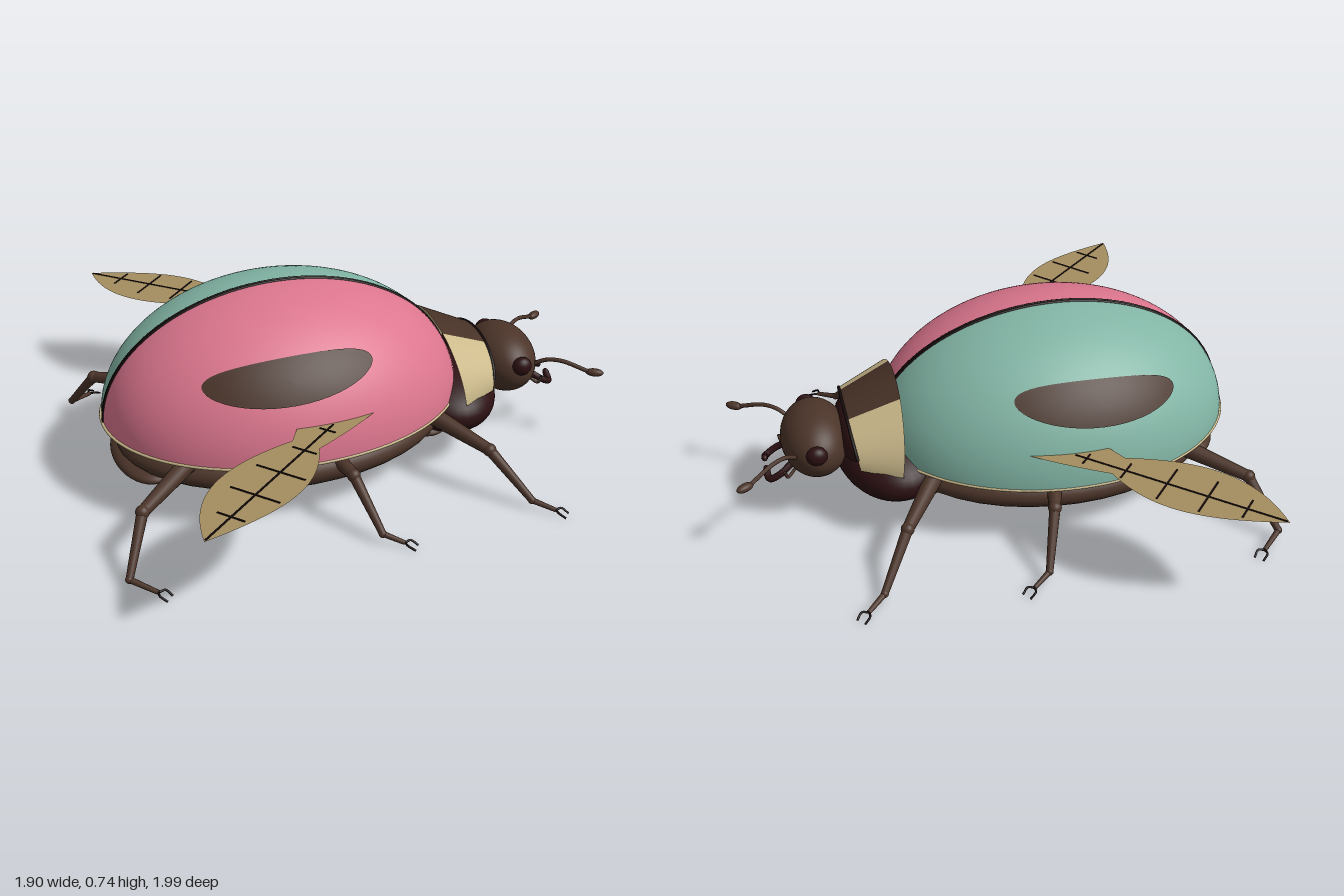
import * as THREE from 'three';

const mat = (name, color) => {
  const m = new THREE.MeshStandardMaterial({ color, side: THREE.DoubleSide });
  m.name = name;
  return m;
};
const V = (x, y, z) => new THREE.Vector3(x, y, z);

export function createModel() {
  const root = new THREE.Group();
  root.name = 'beetle';
  const pink = mat('pink', 0xdc768e), teal = mat('teal', 0x82b5a5);
  const brown = mat('brown', 0x4b3429), spotBrown = mat('spotBrown', 0x483227);
  const maroon = mat('darkMaroon', 0x2c1012), black = mat('nearBlack', 0x160b0b);
  const cream = mat('cream', 0xcbb98b), wingTan = mat('wingTan', 0xa58e60);

  const add = (name, geo, material, parent = root) => {
    const m = new THREE.Mesh(geo, material);
    m.name = name;
    parent.add(m);
    return m;
  };
  const ellipsoid = (name, p, r, material, parent) => {
    const m = add(name, new THREE.SphereGeometry(1, 40, 28), material, parent);
    m.position.set(...p);
    m.scale.set(...r);
    return m;
  };
  const tube = (name, pts, r, material, parent, n = 32) =>
    add(name, new THREE.TubeGeometry(new THREE.CatmullRomCurve3(pts), n, r, 8), material, parent);
  // Tapered limb segment between two points
  const limb = (name, a, b, ra, rb, material, parent) => {
    const d = b.clone().sub(a);
    const m = add(name, new THREE.CylinderGeometry(rb, ra, d.length(), 12), material, parent);
    m.position.copy(a).addScaledVector(d, 0.5);
    m.quaternion.setFromUnitVectors(V(0, 1, 0), d.normalize());
    return m;
  };

  // Body
  ellipsoid('abdomen', [-0.24, 0.185, 0], [0.62, 0.135, 0.45], brown);
  ellipsoid('tailLobe', [-0.76, 0.135, 0], [0.12, 0.045, 0.23], brown);
  ellipsoid('chestLobe', [0.27, 0.14, 0], [0.12, 0.045, 0.25], brown);
  ellipsoid('thorax', [0.37, 0.22, 0], [0.21, 0.13, 0.33], maroon);
  ellipsoid('neck', [0.5, 0.3, 0], [0.07, 0.1, 0.19], maroon);
  ellipsoid('head', [0.645, 0.285, 0], [0.125, 0.125, 0.185], brown);

  // Neck shield: a tapered arch in three coloured sections
  const arch = (a, t) => {
    const c = Math.cos(a), k = 1 - c;
    return V(0.34 + 0.03 * k, 0.275 + 0.235 * c, 0.31 * Math.sin(a))
      .lerp(V(0.535 - 0.025 * k, 0.275 + 0.145 * c, 0.235 * Math.sin(a)), t);
  };
  const shield = (name, a0, a1, material) => {
    const g = new THREE.PlaneGeometry(1, 1, 24, 4), p = g.attributes.position;
    for (let i = 0; i < p.count; i++) {
      const v = arch(a0 + (a1 - a0) * (p.getX(i) + 0.5), p.getY(i) + 0.5);
      p.setXYZ(i, v.x, v.y, v.z);
    }
    g.computeVertexNormals();
    add(name, g, material);
  };
  const split = 0.43, end = 1.57;
  shield('shieldRight', -end, -split, cream);
  shield('shieldMiddle', -split, split, spotBrown);
  shield('shieldLeft', split, end, cream);
  tube('shieldFrontRim', Array.from({ length: 17 }, (_, i) => arch((i / 8 - 1) * 1.3, 1)), 0.006, black);

  // Wing case ellipsoid
  const C = V(-0.24, 0.27, 0), R = V(0.66, 0.465, 0.5);

  for (const s of [1, -1]) {
    const side = s > 0 ? 'Left' : 'Right';
    const P = (x, y, z) => V(x, y, z * s);
    const group = (name) => {
      const g = new THREE.Group();
      g.name = name + side;
      root.add(g);
      return g;
    };

    // Hollow wing case with rim, centre seam and spot
    const wc = group('wingCase');
    const shell = add('shell', new THREE.SphereGeometry(1, 48, 28, s > 0 ? 0 : Math.PI, Math.PI, 0, Math.PI / 2),
      s > 0 ? pink : teal, wc);
    shell.position.set(C.x, C.y, s * 0.006);
    shell.scale.copy(R);
    const arc = (f) => Array.from({ length: 33 }, (_, i) => f(Math.PI * i / 32));
    tube('rim', arc((a) => P(C.x + Math.cos(a) * 0.663, 0.276, Math.sin(a) * 0.503)), 0.006, cream, wc, 64);
    tube('seam', arc((a) => P(C.x + Math.cos(a) * 0.659, C.y + Math.sin(a) * 0.464, 0.005)), 0.006, black, wc, 64);
    const spot = new THREE.RingGeometry(0.001, 1, 48, 8), sp = spot.attributes.position;
    for (let i = 0; i < sp.count; i++) {
      const x = -0.31 + 0.295 * sp.getX(i);
      const y = 0.548 + 0.065 * sp.getY(i) + 0.018 * sp.getX(i);
      const q = 1 - ((x - C.x) / R.x) ** 2 - ((y - C.y) / R.y) ** 2;
      sp.setXYZ(i, x, y, s * (0.012 + R.z * Math.sqrt(Math.max(q, 0))));
    }
    spot.computeVertexNormals();
    add('spot', spot, spotBrown, wc);

    // Flat hind wing with veins
    const wing = group('hindWing');
    const outline = new THREE.Shape();
    outline.moveTo(-0.02, 0.44 * s);
    outline.quadraticCurveTo(-0.13, 0.53 * s, -0.29, 0.62 * s);
    outline.bezierCurveTo(-0.35, 0.83 * s, -0.48, 0.92 * s, -0.765, 0.997 * s);
    outline.bezierCurveTo(-0.76, 0.75 * s, -0.63, 0.62 * s, -0.36, 0.545 * s);
    outline.lineTo(-0.32, 0.47 * s);
    outline.closePath();
    const blade = new THREE.ShapeGeometry(outline, 20);
    blade.rotateX(Math.PI / 2);
    add('blade', blade, wingTan, wing).position.y = 0.41;
    const vein = (x0, z0, x1, z1) => {
      const m = add('vein', new THREE.BoxGeometry(Math.hypot(x1 - x0, z1 - z0), 0.005, 0.006), black, wing);
      m.position.set((x0 + x1) / 2, 0.41, s * (z0 + z1) / 2);
      m.rotation.y = -Math.atan2(s * (z1 - z0), x1 - x0);
    };
    vein(-0.76, 0.99, -0.2, 0.49);
    for (const [x, z, w] of [[-0.66, 0.9, 0.05], [-0.56, 0.81, 0.09], [-0.45, 0.715, 0.09], [-0.34, 0.615, 0.045], [-0.23, 0.52, 0.03]])
      vein(x - w * 0.67, z - w * 0.74, x + w * 0.67, z + w * 0.74);

    // Legs: hip, knee, ankle, foot
    const legs = {
      frontLeg: [[0.25, 0.24, 0.27], [0.39, 0.185, 0.48], [0.5, 0.035, 0.62], [0.565, 0.018, 0.68]],
      middleLeg: [[-0.17, 0.22, 0.34], [-0.13, 0.2, 0.5], [-0.075, 0.04, 0.645], [-0.01, 0.018, 0.69]],
      hindLeg: [[-0.66, 0.24, 0.3], [-0.86, 0.2, 0.485], [-0.94, 0.038, 0.615], [-0.86, 0.018, 0.685]],
    };
    for (const [name, pts] of Object.entries(legs)) {
      const leg = group(name);
      const [hip, knee, ankle, foot] = pts.map((p) => P(...p));
      limb('thigh', hip, knee, 0.034, 0.021, brown, leg);
      ellipsoid('knee', knee.toArray(), [0.024, 0.024, 0.024], brown, leg);
      limb('shin', knee, ankle, 0.02, 0.013, brown, leg);
      ellipsoid('ankle', ankle.toArray(), [0.014, 0.014, 0.014], brown, leg);
      limb('foot', ankle, foot, 0.011, 0.008, brown, leg);
      const dir = foot.clone().sub(ankle).setY(0).normalize(), across = V(-dir.z, 0, dir.x);
      for (const k of [1, -1]) {
        const at = (f, w, y) => foot.clone().addScaledVector(dir, f).addScaledVector(across, k * w).setY(y);
        tube('claw', [at(0, 0, 0.018), at(0.015, 0.018, 0.02), at(0.042, 0.017, 0.005)], 0.004, black, leg, 10);
      }
    }

    // Face
    ellipsoid('eye' + side, [0.655, 0.32, s * 0.172], [0.038, 0.036, 0.03], maroon);
    const feeler = group('antenna');
    tube('stalk', [P(0.71, 0.285, 0.12), P(0.76, 0.32, 0.155), P(0.81, 0.325, 0.19), P(0.9, 0.293, 0.25)], 0.008, brown, feeler);
    const club = ellipsoid('club', [0.917, 0.292, s * 0.259], [0.034, 0.015, 0.017], brown, feeler);
    club.rotation.y = -s * 0.55;
    const jaw = [P(0.73, 0.235, 0.06), P(0.785, 0.2, 0.085), P(0.825, 0.178, 0.075), P(0.832, 0.195, 0.035)];
    tube('jaw' + side, jaw, 0.013, maroon);
    ellipsoid('jawTip' + side, jaw[3].toArray(), [0.011, 0.013, 0.015], maroon);
    tube('palp' + side, [P(0.73, 0.22, 0.09), P(0.76, 0.2, 0.11), P(0.77, 0.23, 0.12)], 0.006, brown);
  }
  return root;
}
